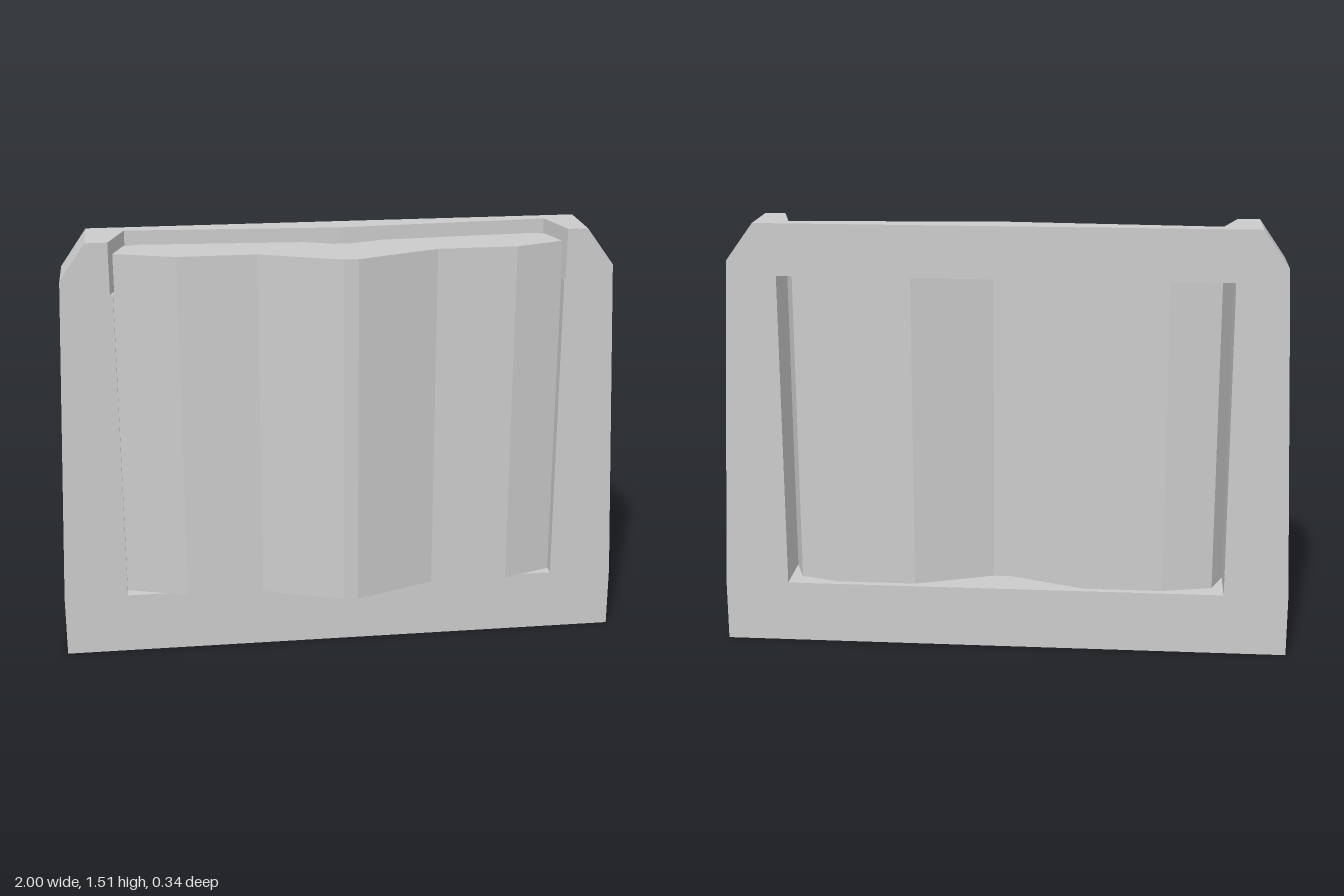
import * as THREE from 'three';

const BACK = -0.172, FRONT = 0.043;
const SILL = 0.22, LINTEL = 1.335, TOP = 1.515;

const material = new THREE.MeshStandardMaterial({ color: 0xcccccc, flatShading: true });

const toShape = (points) => new THREE.Shape(points.map(([x, y]) => new THREE.Vector2(x, y)));

function addMesh(group, name, geometry) {
  const mesh = new THREE.Mesh(geometry, material);
  mesh.name = name;
  group.add(mesh);
}

// Upright prism from a plan outline of [x, z] points
function planPrism(points, bottom, top) {
  const shape = toShape(points.map(([x, z]) => [x, -z]));
  const geometry = new THREE.ExtrudeGeometry(shape, { depth: top - bottom, bevelEnabled: false });
  return geometry.rotateX(-Math.PI / 2).translate(0, bottom, 0);
}

export function createModel() {
  const model = new THREE.Group();
  model.name = 'framedPanel';

  // Tapered frame: sill and two posts with clipped upper corners
  const outline = [
    [-1, 0], [1, 0], [1, 0.22], [0.945, 1.385], [0.85, TOP],
    [0.78, TOP], [0.78, LINTEL], [0.775, LINTEL], [0.775, SILL],
    [-0.775, SILL], [-0.775, LINTEL], [-0.785, LINTEL], [-0.785, TOP],
    [-0.86, TOP], [-0.95, 1.385], [-1, 0.22],
  ];
  const frame = new THREE.ExtrudeGeometry(toShape(outline), { depth: FRONT - BACK, bevelEnabled: false });
  addMesh(model, 'frame', frame.translate(0, 0, BACK));

  // Rear top rail, hollowed in front so the panel drops in from above
  const rail = [
    [-0.785, BACK], [-0.785, FRONT], [-0.73, -0.122], [0.01, -0.077],
    [0.735, -0.122], [0.78, FRONT], [0.78, BACK],
  ];
  addMesh(model, 'topRail', planPrism(rail, LINTEL, TOP));

  // Folded panel: front folds left to right, then back folds right to left
  const panel = [
    [-0.775, 0], [-0.56, 0.066], [-0.29, 0.066], [-0.01, 0.172], [0.04, 0.172],
    [0.325, 0.066], [0.6, 0.066], [0.774, 0.005],
    [0.735, -0.105], [0.6, -0.147], [0.32, -0.147], [0.045, -0.048], [-0.015, -0.048],
    [-0.28, -0.147], [-0.56, -0.147], [-0.735, -0.105],
  ];
  addMesh(model, 'foldedPanel', planPrism(panel, SILL, 1.465));

  return model;
}
